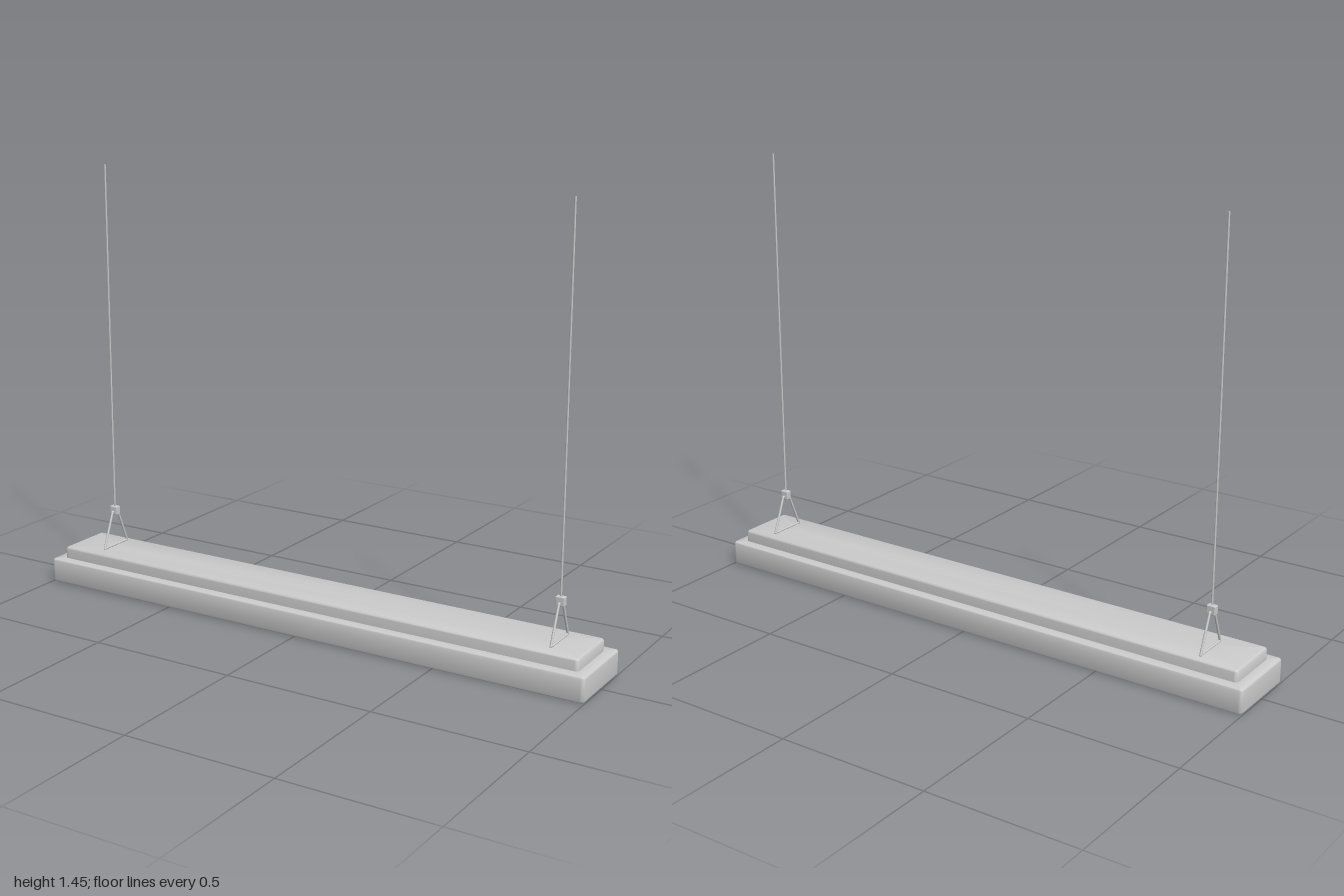
import * as THREE from 'three';
import { toCreasedNormals } from 'three/addons/utils/BufferGeometryUtils.js';
import { RoundedBoxGeometry } from 'three/addons/geometries/RoundedBoxGeometry.js';

const grey = new THREE.MeshStandardMaterial({ color: 0xcccccc });

function add(parent, name, geometry, x = 0, y = 0, z = 0) {
  const mesh = new THREE.Mesh(geometry, grey);
  mesh.name = name;
  mesh.position.set(x, y, z);
  parent.add(mesh);
  return mesh;
}

// Skin over rounded rectangles, each given as [halfX, halfZ, cornerRadius, y]
function loftRectangles(sections) {
  const steps = 4, n = 4 * (steps + 1), pos = [], idx = [];
  const corners = [[1, 1], [-1, 1], [-1, -1], [1, -1]];
  for (const [hx, hz, r, y] of sections) {
    corners.forEach(([sx, sz], c) => {
      for (let i = 0; i <= steps; i++) {
        const a = (c + i / steps) * Math.PI / 2;
        pos.push(sx * (hx - r) + r * Math.cos(a), y, sz * (hz - r) + r * Math.sin(a));
      }
    });
  }
  for (let s = 0; s < sections.length - 1; s++) {
    for (let i = 0; i < n; i++) {
      const a = s * n + i, b = s * n + (i + 1) % n;
      idx.push(a, a + n, b, b, a + n, b + n);
    }
  }
  const g = new THREE.BufferGeometry();
  g.setAttribute('position', new THREE.Float32BufferAttribute(pos, 3));
  g.setIndex(idx);
  return toCreasedNormals(g, 0.6);
}

// Round rod between two points
function rod(parent, name, from, to, radius) {
  const a = new THREE.Vector3(...from), b = new THREE.Vector3(...to);
  const mesh = add(parent, name, new THREE.CylinderGeometry(radius, radius, a.distanceTo(b), 10));
  mesh.position.copy(a).lerp(b, 0.5);
  mesh.quaternion.setFromUnitVectors(new THREE.Vector3(0, 1, 0), b.sub(a).normalize());
}

// Cable, grip block and triangular hanger
function suspension(x, z, top) {
  const g = new THREE.Group();
  g.name = 'suspension';
  g.position.set(x, 0, z);
  rod(g, 'cable', [0, 0.24, 0], [0, top, 0], 0.003);
  add(g, 'cableGrip', new RoundedBoxGeometry(0.03, 0.03, 0.02, 2, 0.003), 0, 0.25, 0);
  const pts = [[0, 0.125, 0.062], [0, 0.245, 0.014], [0, 0.245, -0.014], [0, 0.125, -0.062]];
  pts.forEach((p, i) => {
    rod(g, 'hangerRod', p, pts[(i + 1) % 4], 0.004);
    add(g, 'hangerCorner', new THREE.SphereGeometry(0.004, 10, 8), ...p);
  });
  return g;
}

export function createModel() {
  const model = new THREE.Group();
  model.name = 'hangingLight';

  // Housing: recessed underside, rim, rounded sides and stepped top
  const recessY = 0.03, hx = 0.97, hz = 0.105;
  const round = (x, z, y, r, top) => [0, 1, 2, 3, 4].map(i => {
    const a = i / 4 * Math.PI / 2;
    const inset = r * (1 - (top ? Math.cos(a) : Math.sin(a)));
    const dy = r * (1 - (top ? Math.sin(a) : Math.cos(a)));
    return [x - inset, z - inset, 0.012 - inset, top ? y - dy : y + dy];
  });
  add(model, 'housing', loftRectangles([
    [0.8, 0, 0, recessY], [hx, hz, 0.004, recessY], [hx, hz, 0.004, 0.003],
    [hx + 0.003, hz + 0.003, 0.005, 0],
    ...round(1, 0.132, 0, 0.008, false),
    ...round(1, 0.132, 0.083, 0.008, true),
    [0.966, 0.1, 0.012, 0.083],
    ...round(0.966, 0.1, 0.122, 0.008, true),
    [0.8, 0, 0, 0.122],
  ]));

  // Louvre grid in the recess
  const louvre = new THREE.Group();
  louvre.name = 'louvre';
  model.add(louvre);
  const rows = 5, columns = 30;
  for (let i = 1; i < rows; i++) {
    add(louvre, 'longFin', new THREE.BoxGeometry(2 * hx, 0.018, 0.006), 0, 0.015, -hz + 2 * hz * i / rows);
  }
  for (let i = 1; i < columns; i++) {
    add(louvre, 'crossFin', new THREE.BoxGeometry(0.006, 0.018, 2 * hz), -hx + 2 * hx * i / columns, 0.0155, 0);
  }

  model.add(suspension(-0.83, -0.012, 1.447), suspension(0.86, -0.002, 1.452));
  return model;
}
